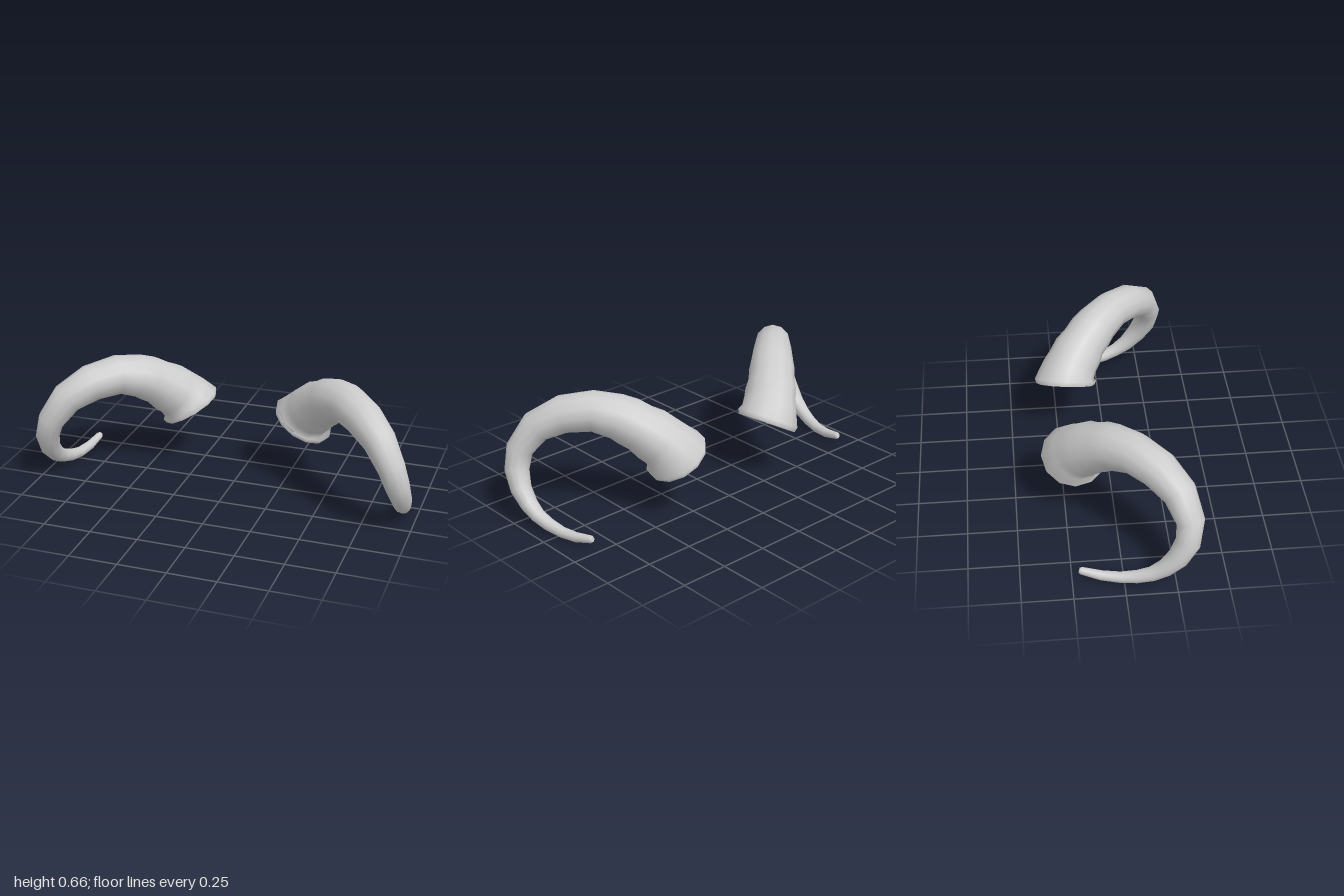
import * as THREE from 'three';

// Horn centreline from flared base to tip: x, y, z, radius
const RINGS = [
  [0.31, 0.302, -0.2, 0.157],
  [0.32, 0.326, -0.198, 0.166],
  [0.345, 0.365, -0.18, 0.145],
  [0.378, 0.405, -0.152, 0.136],
  [0.415, 0.441, -0.122, 0.135],
  [0.452, 0.474, -0.088, 0.122],
  [0.495, 0.508, -0.047, 0.122],
  [0.535, 0.533, -0.008, 0.114],
  [0.62, 0.56, 0.075, 0.103],
  [0.725, 0.54, 0.178, 0.096],
  [0.825, 0.475, 0.265, 0.083],
  [0.9, 0.36, 0.31, 0.069],
  [0.932, 0.26, 0.297, 0.062],
  [0.945, 0.175, 0.25, 0.053],
  [0.942, 0.11, 0.19, 0.044],
  [0.935, 0.07, 0.13, 0.037],
  [0.92, 0.043, 0.06, 0.033],
  [0.902, 0.028, -0.02, 0.028],
  [0.884, 0.031, -0.11, 0.025],
  [0.866, 0.053, -0.205, 0.019],
  [0.864, 0.055, -0.215, 0.012],
];
const SIDES = 12;

// Rings of points carried along the centreline without twisting
function hornRings(side) {
  const centres = RINGS.map(([x, y, z]) => new THREE.Vector3(x * side, y, z));
  const u = new THREE.Vector3(0, 0, 1);
  return centres.map((c, i) => {
    const t = centres[Math.min(i + 1, centres.length - 1)].clone()
      .sub(centres[Math.max(i - 1, 0)]).normalize();
    if (i < 2) t.set(0.5 * side, 0.86, 0.08).normalize(); // flat base plane
    u.addScaledVector(t, -u.dot(t)).normalize();
    const v = t.clone().cross(u);
    return Array.from({ length: SIDES }, (_, k) => {
      const a = (k / SIDES) * Math.PI * 2;
      return c.clone()
        .addScaledVector(u, Math.cos(a) * RINGS[i][3])
        .addScaledVector(v, Math.sin(a) * RINGS[i][3]);
    });
  });
}

function geometryFrom(points, index) {
  const g = new THREE.BufferGeometry().setFromPoints(points);
  g.setIndex(index);
  g.computeVertexNormals();
  return g;
}

// Smooth skin between neighbouring rings
function skin(rings) {
  const index = [];
  for (let i = 0; i < rings.length - 1; i++) {
    for (let k = 0; k < SIDES; k++) {
      const n = (k + 1) % SIDES;
      const a = i * SIDES + k, b = i * SIDES + n;
      index.push(a, b, b + SIDES, a, b + SIDES, a + SIDES);
    }
  }
  return geometryFrom(rings.flat(), index);
}

// Flat disc closing one end
function cap(ring, reversed) {
  const index = [];
  for (let k = 1; k < SIDES - 1; k++) {
    index.push(0, ...(reversed ? [k + 1, k] : [k, k + 1]));
  }
  return geometryFrom(ring, index);
}

export function createModel() {
  const model = new THREE.Group();
  model.name = 'hornPair';
  const grey = new THREE.MeshStandardMaterial({ color: 0xcccccc });
  grey.name = 'hornGrey';

  for (const [side, label] of [[1, 'left'], [-1, 'right']]) {
    const horn = new THREE.Group();
    horn.name = `${label}Horn`;
    const rings = hornRings(side);
    const add = (name, geometry) => {
      const mesh = new THREE.Mesh(geometry, grey);
      mesh.name = name;
      horn.add(mesh);
    };
    add('curvedHorn', skin(rings));
    add('baseCap', cap(rings[0], true));
    add('tipCap', cap(rings[rings.length - 1], false));
    model.add(horn);
  }
  return model;
}
